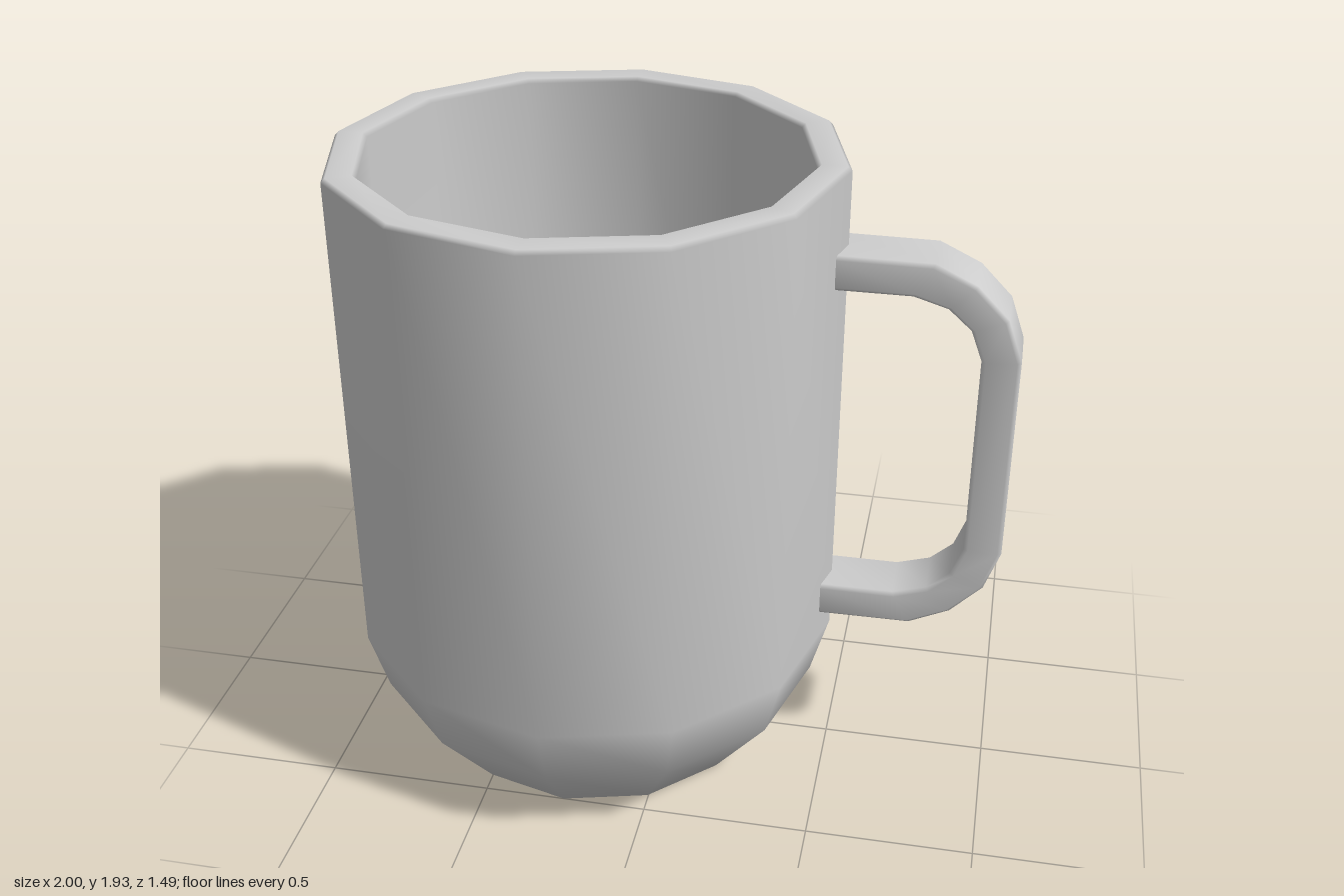
import * as THREE from 'three';
import { mergeVertices } from 'three/addons/utils/BufferGeometryUtils.js';

// Weld seams and average the normals for a soft low-poly look
function smooth(geometry) {
  geometry.deleteAttribute('uv');
  geometry.deleteAttribute('normal');
  const welded = mergeVertices(geometry, 1e-4);
  welded.computeVertexNormals();
  return welded;
}

// Twelve-sided cup: outer wall, bevelled rim, inner wall and floor
function cupGeometry() {
  const profile = [
    [0, 0], [0.5, 0], [0.69, 0.24], [0.745, 0.43],
    [0.745, 1.92], [0.733, 1.932], [0.66, 1.932], [0.648, 1.92],
    [0.648, 0.46], [0.6, 0.3], [0.44, 0.1], [0, 0.1],
  ].map(([r, y]) => new THREE.Vector2(r, y));
  return smooth(new THREE.LatheGeometry(profile, 12));
}

// Handle: bevelled rectangle swept between an inner and an outer edge line
function handleGeometry() {
  const midY = 1.11;
  // [inner x, inner y, outer x, outer y], heights measured from the middle
  const upper = [
    [0.468, 0.49, 0.468, 0.594], [0.685, 0.49, 0.74, 0.592],
    [0.785, 0.46, 0.86, 0.535], [0.852, 0.4, 0.953, 0.44],
    [0.886, 0.31, 0.997, 0.315],
  ];
  const lower = upper.map(([a, b, c, d]) => [a, -b, c, -d]).reverse();
  const rings = [...upper, ...lower];
  const w = 0.095, v = 0.083, e = 0.11;
  const section = [
    [1, -v], [1, v], [1 - e, w], [e, w], [0, v], [0, -v], [e, -w], [1 - e, -w],
  ];
  const n = section.length;
  const positions = [], index = [];
  rings.forEach(([ix, iy, ox, oy], i) => {
    for (const [u, z] of section) {
      positions.push(ix + (ox - ix) * u, midY + iy + (oy - iy) * u, z);
    }
    if (i === 0) return;
    for (let j = 0; j < n; j++) {
      const k = (j + 1) % n, p = (i - 1) * n, q = i * n;
      index.push(p + j, p + k, q + k, p + j, q + k, q + j);
    }
  });
  const geometry = new THREE.BufferGeometry();
  geometry.setAttribute('position', new THREE.Float32BufferAttribute(positions, 3));
  geometry.setIndex(index);
  geometry.computeVertexNormals();
  return geometry;
}

export function createModel() {
  const ceramic = new THREE.MeshStandardMaterial({ color: 0xcccccc });
  ceramic.name = 'light grey ceramic';

  const mug = new THREE.Group();
  mug.name = 'mug';

  const cup = new THREE.Mesh(cupGeometry(), ceramic);
  cup.name = 'cup';
  cup.position.x = -0.253;

  const handle = new THREE.Mesh(handleGeometry(), ceramic);
  handle.name = 'handle';

  mug.add(cup, handle);
  return mug;
}
